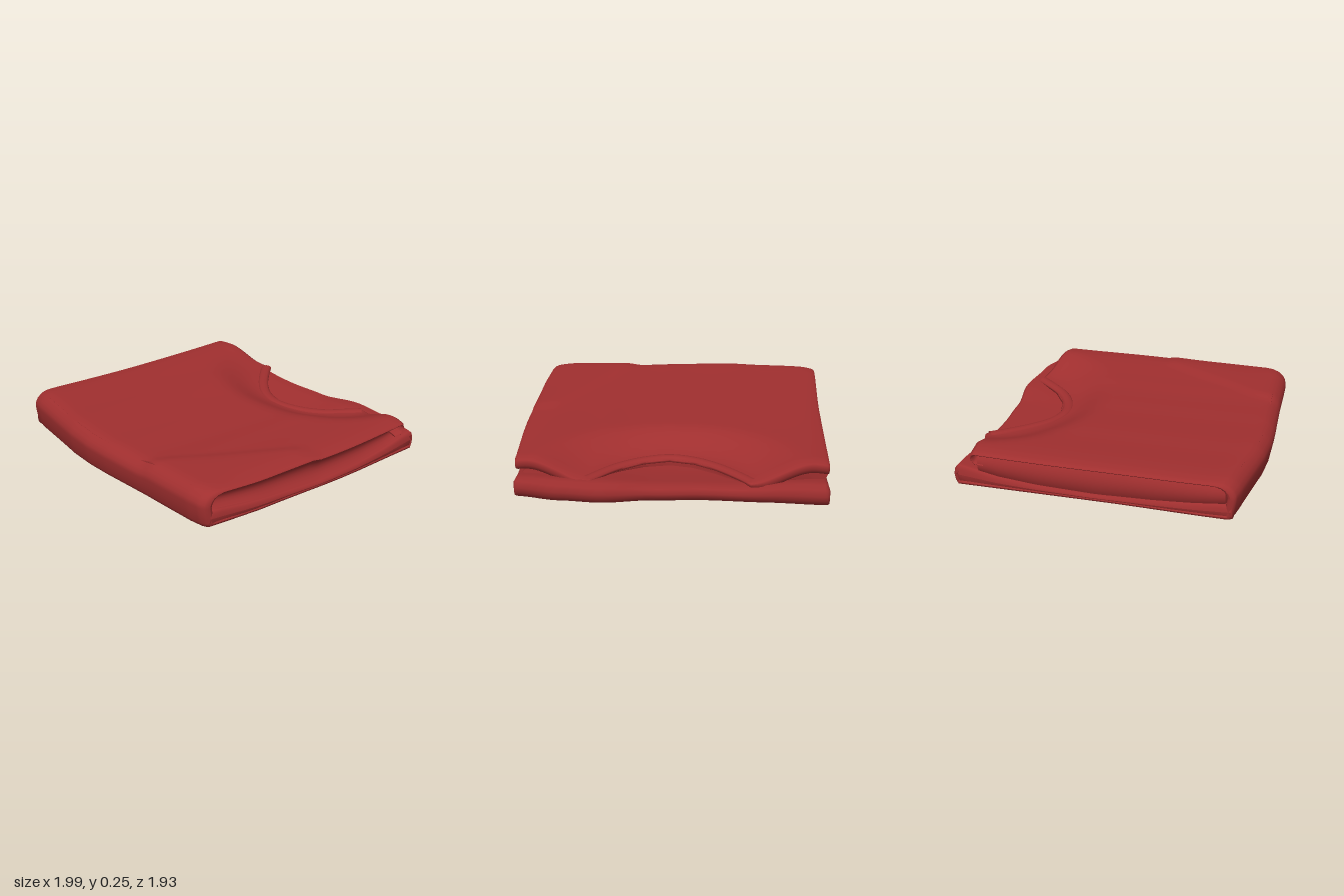
import * as THREE from 'three';

const cloth = new THREE.MeshStandardMaterial({ color: 0xa02f2f, side: THREE.DoubleSide });
cloth.name = 'red cloth';

// Smooth or straight interpolation through [x, value] pairs
function curve(points, smooth = true) {
  return (x) => {
    if (x <= points[0][0]) return points[0][1];
    for (let i = 1; i < points.length; i++) {
      const [x0, y0] = points[i - 1], [x1, y1] = points[i];
      if (x <= x1) {
        let t = (x - x0) / (x1 - x0);
        if (smooth) t = t * t * (3 - 2 * t);
        return y0 + (y1 - y0) * t;
      }
    }
    return points[points.length - 1][1];
  };
}

// Outline of the folded shirt
const rightEdge = curve([[-0.9, 0.975], [-0.2, 0.996], [0.4, 0.979], [0.9, 0.947]]);
const leftEdge = curve([[-0.9, 0.98], [0, 0.98], [0.85, 0.998]]);
const edgeX = (u, z) => (u > 0 ? u * rightEdge(z) : u * leftEdge(z));
const frontZ = curve([[-1, 0.865], [-0.9, 0.888], [-0.6, 0.926], [-0.4, 0.953], [-0.2, 0.963], [0, 0.957], [0.2, 0.944],
  [0.4, 0.932], [0.6, 0.925], [0.85, 0.914], [0.95, 0.9], [1, 0.875]], false);
const lowerBackZ = curve([[-1, -0.94], [-0.6, -0.92], [-0.2, -0.905], [0.1, -0.92], [0.45, -0.965], [0.7, -0.945], [1, -0.895]]);
const neck = [[-0.5, -0.92], [-0.46, -0.87], [-0.29, -0.7], [-0.14, -0.6], [0.02, -0.56], [0.19, -0.6], [0.35, -0.7], [0.48, -0.85], [0.52, -0.9]];
const upperBackZ = curve([[-1, -0.825], [-0.9, -0.83], [-0.65, -0.875], ...neck, [0.7, -0.845], [1, -0.795]], false);

// Height of the top panel: side ridges, sagging middle, sunken neckline, slanting wrinkle at the front
const ridge = curve([[-1, 0.246], [-0.9, 0.25], [-0.5, 0.24], [0, 0.227], [0.3, 0.222], [0.5, 0.228], [0.85, 0.236], [1, 0.23]]);
const neckDip = curve([[1, 0.1], [1.75, 0]]);
const wrinkle = curve([[0, 0], [0.12, 0.013], [0.5, 0.003]]);
function topY(x, z) {
  const r = Math.hypot((x - 0.02) / 0.53, (z + 0.95) / 0.42);
  const lift = z > 0 ? wrinkle(x - 0.28 - 0.55 * (0.93 - z)) : 0;
  return ridge(x) + lift - 0.011 * (1 - (z / 0.85) ** 2) - 0.01 * Math.abs(x) ** 24 - neckDip(r);
}

// Thick cloth lofted across the width; path(x) lists [z, y, thickness] on its outer side
function sheet(name, path) {
  const stations = [[-1, 0], [-0.996, 0.6], [-0.985, 0.95]];
  for (let i = -48; i <= 48; i++) stations.push([i / 49.5, 1]);
  stations.push([0.985, 0.95], [0.996, 0.6], [1, 0]);
  const position = [], index = [];
  stations.forEach(([u, full], s) => {
    const pts = path(u), outer = [], inner = [];
    pts.forEach(([z, y, t], i) => {
      const a = pts[Math.max(i - 1, 0)], b = pts[Math.min(i + 1, pts.length - 1)];
      const dz = b[0] - a[0], dy = b[1] - a[1], l = Math.hypot(dz, dy);
      const nz = -dy / l, ny = dz / l;
      const o = t * (1 - full) / 2, n = t * (1 + full) / 2;
      outer.push([edgeX(u, z), y - ny * o, z - nz * o]);
      inner.push([edgeX(u, z), y - ny * n, z - nz * n]);
    });
    const loop = [...outer, ...inner.reverse()], ring = loop.length;
    loop.forEach((p) => position.push(...p));
    if (s === 0) return;
    for (let j = 0; j < ring; j++) {
      const k = (j + 1) % ring, p = (s - 1) * ring, q = s * ring;
      index.push(p + j, p + k, q + j, p + k, q + k, q + j);
    }
  });
  const g = new THREE.BufferGeometry();
  g.setAttribute('position', new THREE.Float32BufferAttribute(position, 3));
  g.setIndex(index);
  g.computeVertexNormals();
  const mesh = new THREE.Mesh(g, cloth);
  mesh.name = name;
  return mesh;
}

// Outer layer: turned-under back edge (deeper at the shoulders), top panel, front fold, flat underside
const hemDepth = curve([[-0.65, 0.085], [-0.45, 0.03], [0.45, 0.03], [0.65, 0.085]]);
function shellPath(x) {
  const zb = upperBackZ(x), zf = frontZ(x), yb = topY(x, zb), d = hemDepth(x);
  const pts = [[zb + 0.09, yb - d, 0.012], [zb + 0.025, yb - d * 0.95, 0.015], [zb, yb - d * 0.55, 0.018], [zb + 0.006, yb - d * 0.15, 0.02]];
  for (let i = 0; i <= 24; i++) {
    const z = zb + 0.03 + (zf - 0.13 - zb - 0.03) * i / 24;
    pts.push([z, topY(x, z), 0.02]);
  }
  const h = topY(x, zf - 0.13);
  for (const [back, f, t] of [[0.085, 0.985, 0.03], [0.05, 0.93, 0.04], [0.02, 0.82, 0.05], [0.004, 0.7, 0.055],
    [0, 0.58, 0.055], [0.008, 0.35, 0.055], [0.018, 0.12, 0.05], [0.032, 0.012, 0.045], [0.06, 0, 0.04]]) pts.push([zf - back, h * f, t]);
  const end = lowerBackZ(x) + 0.03;
  for (let i = 1; i <= 10; i++) pts.push([zf - 0.06 + (end - zf + 0.06) * i / 10, 0, 0.035]);
  return pts;
}

// Lower layers: thin in the middle, rising toward the front fold and the rounded back edge
const lowerTop = curve([[-0.9, 0.138], [-0.65, 0.085], [-0.4, 0.06], [0, 0.046], [0.35, 0.06], [0.6, 0.08], [0.85, 0.11]], false);
const lowerLift = curve([[-0.9, 1], [-0.35, 0.78], [0.1, 0.78], [0.45, 0.95], [0.9, 1]]);
function lowerPath(x) {
  const zb = lowerBackZ(x), k = lowerLift(x);
  const pts = [[zb + 0.03, 0.004, 0.008], [zb + 0.008, 0.035 * k, 0.03], [zb, 0.07 * k, 0.04], [zb + 0.008, 0.112 * k, 0.05]];
  for (let i = 0; i <= 20; i++) {
    const z = zb + 0.03 + (0.84 - zb - 0.03) * i / 20;
    const y = lowerTop(z) * k;
    pts.push([z, y, y - 0.008]);
  }
  return pts;
}

// Inner folds between the layers: hollowed on one side, bulging out on the other
function innerFolds() {
  const g = new THREE.BoxGeometry(2, 2, 2, 50, 8, 24);
  const p = g.attributes.position;
  for (let i = 0; i < p.count; i++) {
    const u = p.getX(i), v = p.getY(i), w = (p.getZ(i) + 1) / 2;
    const z = THREE.MathUtils.lerp(upperBackZ(u) + 0.05, frontZ(u) - 0.06, w);
    const bulge = 1 - v * v;
    const inset = u > 0 ? 0.985 - 0.05 * bulge : 0.972 + 0.024 * bulge;
    const floor = lowerTop(z) * lowerLift(u) - 0.012;
    p.setXYZ(i, edgeX(u, z) * inset, THREE.MathUtils.lerp(floor, topY(u, z) - 0.014, (v + 1) / 2), z);
  }
  g.computeVertexNormals();
  const mesh = new THREE.Mesh(g, cloth);
  mesh.name = 'innerFolds';
  return mesh;
}

// Flattened ribbed band around the neckline
function collar() {
  const path = new THREE.CatmullRomCurve3(neck.map(([x, z]) => {
    const zz = z + 0.04;
    return new THREE.Vector3(x, (topY(x, zz) - 0.008) / 0.55, zz);
  }));
  const g = new THREE.TubeGeometry(path, 48, 0.038, 10, false);
  g.scale(1, 0.55, 1);
  const mesh = new THREE.Mesh(g, cloth);
  mesh.name = 'collar';
  return mesh;
}

export function createModel() {
  const shirt = new THREE.Group();
  shirt.name = 'foldedShirt';
  shirt.add(sheet('outerLayer', shellPath), sheet('lowerLayer', lowerPath), innerFolds(), collar());
  return shirt;
}
